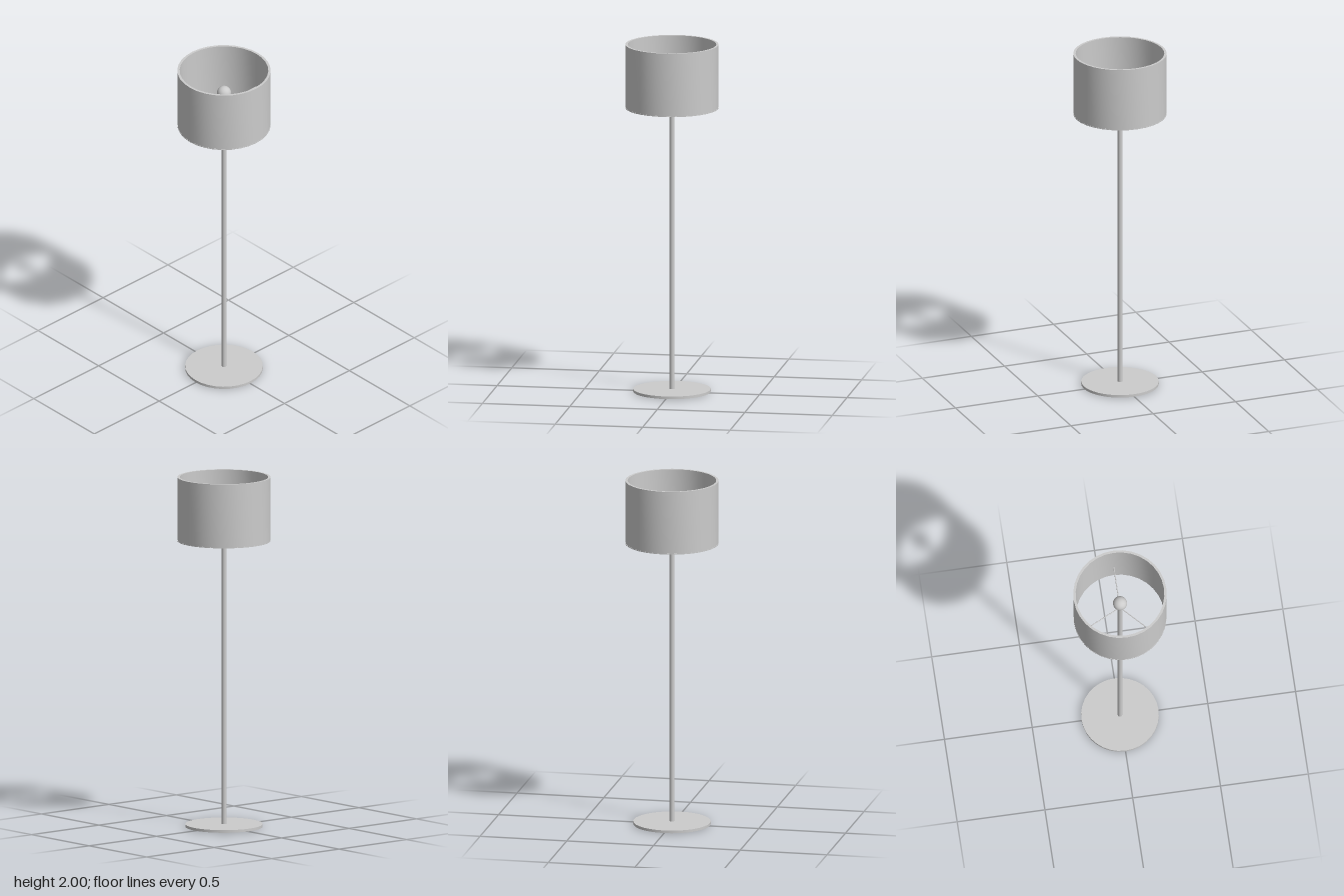
import * as THREE from 'three';
import { toCreasedNormals } from 'three/addons/utils/BufferGeometryUtils.js';

const SIDES = 32;

export function createModel() {
  const lamp = new THREE.Group();
  lamp.name = 'floorLamp';
  const material = new THREE.MeshStandardMaterial({ color: 0xcccccc });

  const add = (name, geometry, y, parent = lamp) => {
    const mesh = new THREE.Mesh(geometry, material);
    mesh.name = name;
    mesh.position.y = y;
    parent.add(mesh);
    return mesh;
  };

  // Closed hollow drum between two radii, starting at y = 0
  const drum = (inner, outer, height) => {
    const profile = [[inner, 0], [outer, 0], [outer, height], [inner, height], [inner, 0]]
      .map(([r, y]) => new THREE.Vector2(r, y));
    return toCreasedNormals(new THREE.LatheGeometry(profile, SIDES), Math.PI / 6);
  };

  // Flat round foot and slim pole, which shows through the underside
  add('base', new THREE.CylinderGeometry(0.219, 0.219, 0.015, SIDES), 0.0095);
  add('pole', new THREE.CylinderGeometry(0.0135, 0.0135, 1.82, 16), 0.91);

  // Bulb on top of the pole
  add('bulb', new THREE.SphereGeometry(0.04, 32, 20), 1.85);

  // Drum shade with a fine hem at both ends
  const shade = new THREE.Group();
  shade.name = 'shade';
  lamp.add(shade);
  add('shadeWall', drum(0.25, 0.262, 0.363), 1.636, shade);
  add('bottomHem', drum(0.25, 0.2635, 0.005), 1.635, shade);
  add('topHem', drum(0.25, 0.2635, 0.005), 1.995, shade);

  // Three thin rods carrying the shade, angles measured from +x towards +z
  for (const degrees of [0, 137, 244]) {
    const arm = new THREE.Group();
    arm.name = 'shadeSupport';
    arm.position.y = 1.78;
    arm.rotation.y = -THREE.MathUtils.degToRad(degrees);
    lamp.add(arm);
    const rod = add('rod', new THREE.CylinderGeometry(0.003, 0.003, 0.25, 8), 0, arm);
    rod.rotation.z = Math.PI / 2;
    rod.position.x = 0.126;
  }

  return lamp;
}
